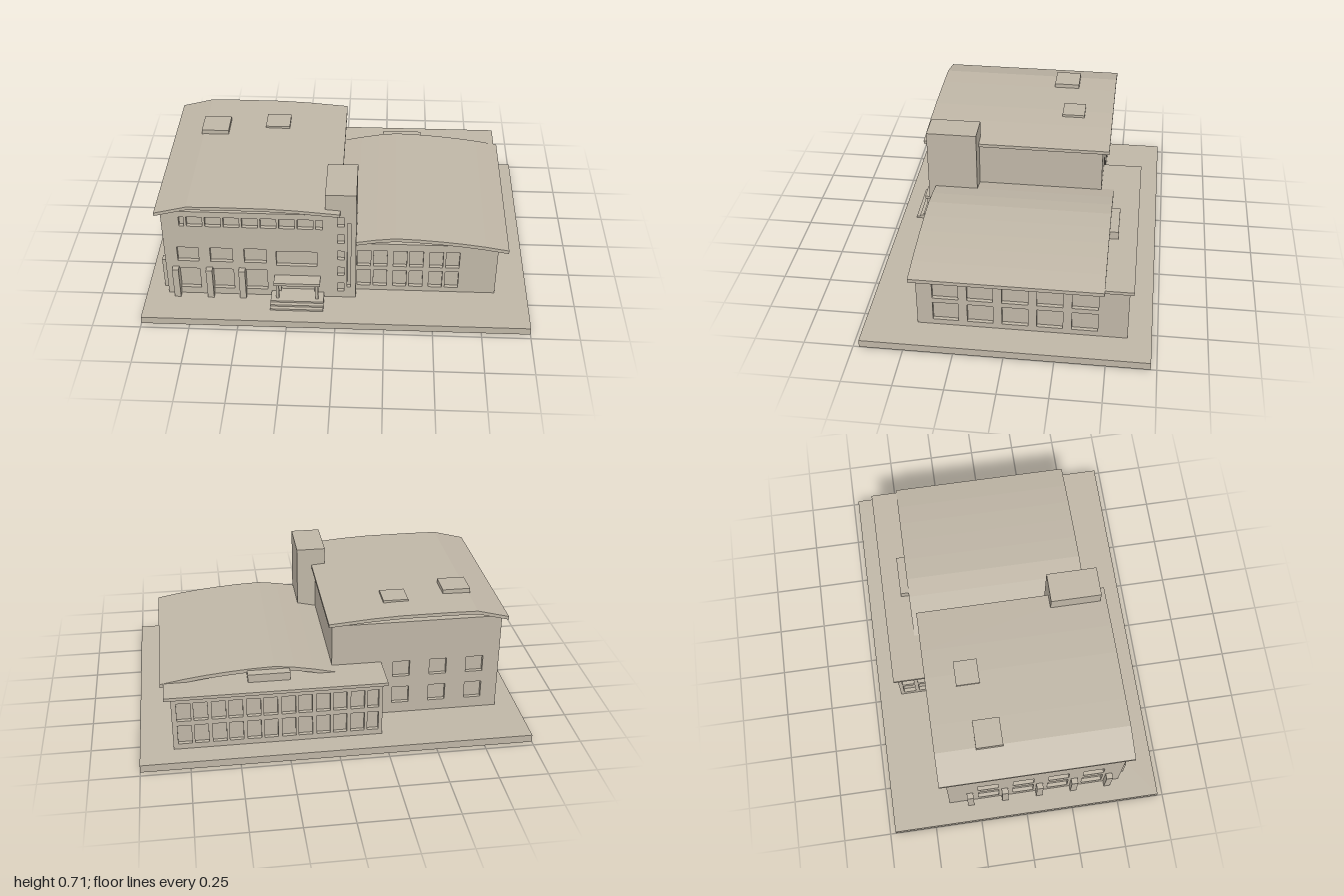
import * as THREE from 'three';

const DEPTH = 0.02; // window recess
const FRONT = 0, BACK = Math.PI, LEFT = Math.PI / 2, RIGHT = -Math.PI / 2; // LEFT faces +x

export function createModel() {
  const model = new THREE.Group();
  model.name = 'building';
  const stone = new THREE.MeshStandardMaterial({ color: 0xbfb6a6 });
  stone.name = 'warm stone';

  const add = (name, geometry) => {
    const mesh = new THREE.Mesh(geometry, stone);
    mesh.name = name;
    model.add(mesh);
    return mesh;
  };
  const box = (name, x0, x1, y0, y1, z0, z1) =>
    add(name, new THREE.BoxGeometry(x1 - x0, y1 - y0, z1 - z0))
      .position.set((x0 + x1) / 2, (y0 + y1) / 2, (z0 + z1) / 2);

  // Wall panel with rectangular openings [u0, u1, v0, v1]; u runs to the right as seen from outside
  const rect = (Type, u0, u1, v0, v1) => new Type([
    new THREE.Vector2(u0, v0), new THREE.Vector2(u1, v0),
    new THREE.Vector2(u1, v1), new THREE.Vector2(u0, v1)]);
  const wall = (name, facing, dist, u0, u1, v0, v1, openings) => {
    const shape = rect(THREE.Shape, u0, u1, v0, v1);
    openings.forEach(o => shape.holes.push(rect(THREE.Path, ...o)));
    const geometry = new THREE.ExtrudeGeometry(shape, { depth: DEPTH, bevelEnabled: false });
    geometry.translate(0, 0, dist - DEPTH);
    add(name, geometry).rotation.y = facing;
  };
  // Grid of openings: every span in u crossed with every row in v
  const grid = (spans, rows) => spans.flatMap(s => rows.map(r => [...s, ...r]));
  const repeat = (n, start, pitch, width) =>
    Array.from({ length: n }, (_, i) => [start + i * pitch, start + i * pitch + width]);

  // Roof slab following a line of [x, y] points on its top
  const roof = (name, top, thick, z0, z1) => {
    const points = [...top, ...top.map(([x, y]) => [x, y - thick]).reverse()];
    const shape = new THREE.Shape(points.map(p => new THREE.Vector2(...p)));
    const geometry = new THREE.ExtrudeGeometry(shape, { depth: z1 - z0, bevelEnabled: false });
    add(name, geometry).position.z = z0;
  };

  const G = 0.04;
  box('base', -1, 1, 0, G, -0.72, 0.72);

  // Main block
  const H = 0.582, upper = [0.26, 0.35], lower = [0.08, 0.21], strip = [0.489, 0.548];
  box('mainBlockCore', -0.865, -0.001, G, H - 0.001, -0.39, 0.5);
  const bays = [[-0.82, -0.71], [-0.65, -0.535], [-0.475, -0.36]];
  const strips = [[-0.795, -0.77], ...repeat(7, -0.757, 0.0933, 0.08), [-0.105, -0.07]];
  wall('mainFrontWall', FRONT, 0.52, -0.885, -0.055, G, H, [
    ...grid(bays, [upper, lower]), ...grid(strips, [strip]),
    [-0.31, -0.1, 0.245, 0.34], [-0.29, -0.115, 0.07, 0.163]]);
  wall('mainSideWall', RIGHT, 0.885, -0.41, 0.52, G, H, [
    ...grid(repeat(4, -0.25, 0.187, 0.11), [upper, lower]),
    ...grid(repeat(9, -0.35, 0.0933, 0.08), [strip])]);
  wall('mainBackWall', BACK, 0.41, 0, 0.885, G, H,
    grid(repeat(3, 0.32, 0.195, 0.09), [upper, [0.1, 0.195]]));
  box('mainInnerWall', -0.02, 0, G, H, -0.41, 0.3);
  roof('mainRoof', [[-0.91, 0.593], [-0.745, 0.636], [-0.6, 0.638], [-0.35, 0.637],
    [-0.2, 0.63], [0.02, 0.612]], 0.018, -0.445, 0.553);
  box('skylight', -0.755, -0.61, 0.6, 0.66, -0.235, -0.097);
  box('skylight', -0.415, -0.285, 0.6, 0.647, -0.29, -0.168);

  // Ground floor piers along the front and the side
  for (const x of [-0.85, -0.675, -0.505]) box('frontPier', x, x + 0.033, G, 0.222, 0.5, 0.553);
  for (let i = 0; i < 5; i++) {
    const z = -0.295 + i * 0.187;
    box('sidePier', -0.915, -0.87, G, 0.222, z - 0.017, z + 0.017);
  }

  // Entrance porch
  box('porchFloor', -0.32, -0.085, G, 0.07, 0.5, 0.58);
  box('porchCanopy', -0.322, -0.083, 0.163, 0.18, 0.5, 0.587);
  for (const x of [-0.312, -0.108]) box('porchPost', x, x + 0.015, 0.07, 0.163, 0.555, 0.577);
  for (let i = 0; i < 3; i++)
    box('entranceStep', -0.34, -0.065, G, 0.05 + i * 0.01, 0.52, 0.638 - i * 0.02);

  // Stair tower
  box('towerCore', -0.055, 0.1, G, 0.707, 0.255, 0.5);
  wall('towerFrontWall', FRONT, 0.52, -0.055, 0.1, G, 0.707, [
    ...repeat(5, 0.08, 0.1075, 0.057).map(v => [0.005, 0.04, ...v]),
    [0.055, 0.073, 0.11, 0.535]]);

  // Side wing
  const rows = [[0.07, 0.177], [0.204, 0.307]], W = 0.353;
  const pairs = (n, start, pitch) =>
    repeat(n, start, pitch, 0.07).flatMap(([a, b]) => [[a, b], [a + 0.085, b + 0.085]]);
  box('wingCore', -0.01, 0.81, G, W - 0.001, -0.58, 0.435);
  wall('wingFrontWall', FRONT, 0.455, 0, 0.83, G, W, grid(pairs(3, 0.105, 0.1875), rows));
  wall('wingSideWall', LEFT, 0.83, -0.455, 0.6, G, W, grid(repeat(5, -0.375, 0.174, 0.13), rows));
  roof('wingRoof', [[-0.02, 0.353], [0.1, 0.381], [0.2, 0.4], [0.3, 0.412], [0.42, 0.408],
    [0.54, 0.399], [0.65, 0.388], [0.76, 0.373], [0.88, 0.352]], 0.02, -0.478, 0.482);
  box('roofBox', 0.225, 0.44, 0.34, 0.398, -0.522, -0.4);

  // Low rear annex
  box('annexCore', -0.215, 0.1, G, 0.34, -0.58, -0.38);
  wall('annexBackWall', BACK, 0.6, -0.83, 0.235, G, 0.34, grid(pairs(6, -0.805, 0.1755), rows));
  wall('annexEndWall', RIGHT, 0.235, -0.6, -0.4, G, 0.34, grid(repeat(2, -0.58, 0.085, 0.065), rows));
  box('annexRoof', -0.258, 0.863, 0.338, 0.355, -0.62, -0.4);

  return model;
}
